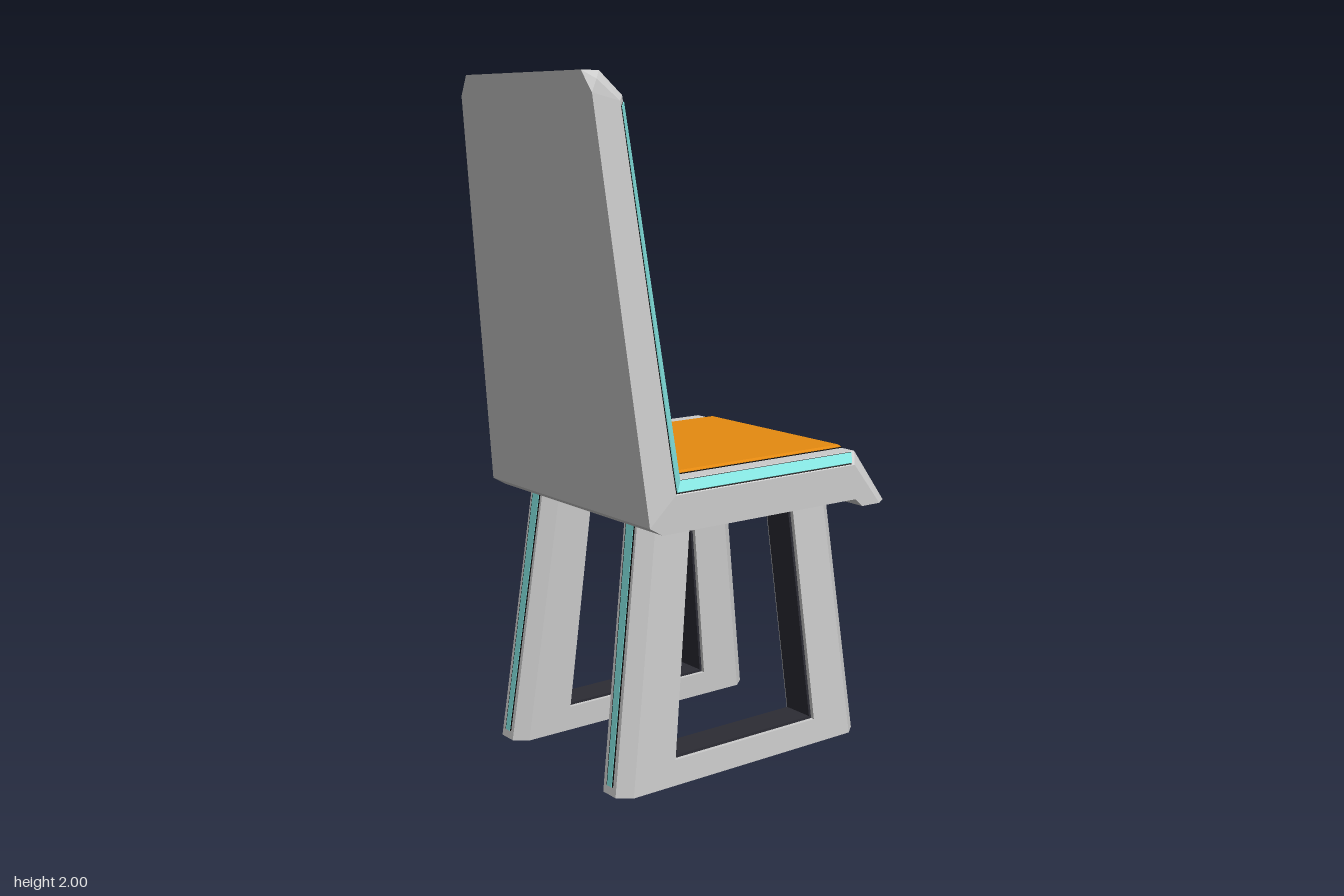
import * as THREE from 'three';

const material = (color) => new THREE.MeshStandardMaterial({ color, flatShading: true });
const GREY = material(0xcccccc);
const ORANGE = material(0xe58a10);
const TEAL = material(0x80e0dc);
const DARK = material(0x2c2c34);
const BLACK = material(0x0c0c0c);

// Closed solid through equal-sized rings of [x, y, z] points, faces turned outward
function loft(name, rings, mat) {
  const tris = [];
  const n = rings[0].length;
  for (let i = 0; i < rings.length - 1; i++) {
    for (let j = 0; j < n; j++) {
      const k = (j + 1) % n;
      const a = rings[i][j], b = rings[i][k], c = rings[i + 1][k], d = rings[i + 1][j];
      tris.push([a, b, c], [a, c, d]);
    }
  }
  const first = rings[0], last = rings[rings.length - 1];
  for (let j = 1; j < n - 1; j++) {
    tris.push([first[0], first[j + 1], first[j]], [last[0], last[j], last[j + 1]]);
  }
  const v = (p) => new THREE.Vector3(...p);
  const o = v(first[0]);
  let volume = 0;
  for (const [a, b, c] of tris) {
    volume += v(a).sub(o).dot(v(b).sub(o).cross(v(c).sub(o)));
  }
  const points = tris.flatMap(([a, b, c]) => (volume < 0 ? [a, c, b] : [a, b, c]));
  const geometry = new THREE.BufferGeometry();
  geometry.setAttribute('position', new THREE.Float32BufferAttribute(points.flat(), 3));
  geometry.computeVertexNormals();
  const mesh = new THREE.Mesh(geometry, mat);
  mesh.name = name;
  return mesh;
}

const mix = (a, b, t) => a.map((q, i) => q + (b[i] - q) * t);

// Mitred upward normals of an x-y path running from the backrest to the seat front
function pathNormals(path) {
  const seg = path.slice(1).map((p, i) => {
    const dx = p[0] - path[i][0], dy = p[1] - path[i][1], l = Math.hypot(dx, dy);
    return [-dy / l, dx / l];
  });
  return path.map((_, i) => {
    const a = seg[Math.max(i - 1, 0)], b = seg[Math.min(i, seg.length - 1)];
    const s = 1 + a[0] * b[0] + a[1] * b[1];
    return [(a[0] + b[0]) / s, (a[1] + b[1]) / s];
  });
}

// Shell stations: inner edge, chamfer edge, outer edge, each [x, y, half width]
const SHELL = [
  [[-0.46, 1.998, 0.285], [-0.495, 1.975, 0.325], [-0.52, 1.998, 0.29]],
  [[-0.39, 1.935, 0.29], [-0.425, 1.92, 0.33], [-0.513, 1.94, 0.33]],
  [[-0.265, 0.905, 0.375], [-0.3, 0.87, 0.405], [-0.388, 0.79, 0.405]],
  [[-0.265, 0.905, 0.375], [-0.3, 0.87, 0.405], [-0.345, 0.765, 0.405]],
  [[0.39, 0.905, 0.375], [0.365, 0.87, 0.405], [0.37, 0.765, 0.405]],
  [[0.513, 0.74, 0.375], [0.47, 0.74, 0.405], [0.4, 0.74, 0.405]],
];

// Strip following a path of [x, y, half width], with bevelled rim when raised
function strip(name, path, low, high, bevel, mat) {
  const len = (a, b) => Math.hypot(a[0] - b[0], a[1] - b[1]);
  const m = path.length;
  const full = [path[0], mix(path[0], path[1], bevel / len(path[0], path[1])), ...path.slice(1, -1),
    mix(path[m - 1], path[m - 2], bevel / len(path[m - 1], path[m - 2])), path[m - 1]];
  const normals = pathNormals(full);
  const rings = full.map(([x, y, w], i) => {
    const top = i === 0 || i === full.length - 1 ? low : high;
    const at = (d, z) => [x + normals[i][0] * d, y + normals[i][1] * d, z];
    return [at(-0.012, w), at(low, w), at(top, w - bevel), at(top, bevel - w), at(low, -w), at(-0.012, -w)];
  });
  return loft(name, rings, mat);
}

// One bevelled, leaning leg frame with glowing strips; side is +1 or -1
function legFrame(side) {
  const leg = new THREE.Group();
  leg.name = side > 0 ? 'leftLegFrame' : 'rightLegFrame';
  const pt = (x, y, dz) => [x, y, side * (0.2725 - 0.04 * y + dz)];
  const H = 0.0625, TOP = 0.78;
  const posts = [
    { name: 'frontPost', s: 1, out: (y) => 0.47 - 0.131 * y, inn: (y) => 0.294 - 0.112 * y },
    { name: 'rearPost', s: -1, out: (y) => -0.435 + 0.131 * y, inn: (y) => -0.253 + 0.104 * y },
  ];
  for (const { name, s, out, inn } of posts) {
    leg.add(loft(name, [0, TOP].map((y) => {
      const o = out(y), c = o - s * 0.04, i = inn(y);
      return [pt(o, y, 0.03), pt(c, y, H), pt(i, y, H), pt(i, y, -H), pt(c, y, -H), pt(o, y, -0.03)];
    }), GREY));
    // Dark groove with the light strip set on it
    for (const [label, lift, w0, w1, mat] of [['Groove', 0.0015, 0.015, 0.021, BLACK], ['Light', 0.003, 0.011, 0.017, TEAL]]) {
      leg.add(loft(name + label, [[0.025, w0], [0.765, w1]].map(([y, w]) => {
        const a = out(y) + s * lift, b = out(y) - s * 0.005;
        return [pt(a, y, w), pt(a, y, -w), pt(b, y, -w), pt(b, y, w)];
      }), mat));
    }
    // Dark lining of the opening
    leg.add(loft(name + 'Lining', [0.075, TOP].map((y) => {
      const a = inn(y) + s * 0.004, b = inn(y) - s * 0.008;
      return [pt(a, y, 0.05), pt(a, y, -0.05), pt(b, y, -0.05), pt(b, y, 0.05)];
    }), DARK));
  }
  const bar = (name, y0, y1, h, mat) => loft(name, posts.map(({ inn }) => [
    pt(inn(y0), y0, h), pt(inn(y1), y1, h), pt(inn(y1), y1, -h), pt(inn(y0), y0, -h)]), mat);
  leg.add(bar('floorBar', 0, 0.076, H, GREY), bar('floorBarLining', 0.07, 0.084, 0.05, DARK));
  return leg;
}

export function createModel() {
  const chair = new THREE.Group();
  chair.name = 'chair';

  // Backrest and seat shell
  chair.add(loft('shell', SHELL.map((station) => {
    const half = station.map(([x, y, w]) => [x, y, w]);
    return [...half, ...half.map(([x, y, w]) => [x, y, -w]).reverse()];
  }), GREY));

  // Upholstery: dark bed with raised panels
  const back = (y) => [-0.265 - (y - 0.905) * 0.1214, y, 0.315 - (y - 0.905) * 0.06];
  const crest = [-0.455, 1.993, 0.25], bend = back(1.935);
  const knee = [0.39, 0.905, 0.315], lip = [0.468, 0.801, 0.315];
  const grow = ([x, y, w]) => [x, y, w + 0.006];
  chair.add(strip('upholsteryBed', [[-0.46, 1.997, 0.25], bend, back(0.905), knee, [0.472, 0.795, 0.315]].map(grow),
    0.0015, 0.0015, 0.002, BLACK));
  const panels = {
    headPanel: [crest, bend, back(1.77)],
    upperBackPanel: [back(1.762), back(1.42)],
    lowerBackPanel: [back(1.412), back(0.92)],
    seatPanel: [[-0.255, 0.905, 0.315], knee, lip],
  };
  for (const [name, path] of Object.entries(panels)) {
    chair.add(strip(name, path, 0.003, 0.007, 0.012, ORANGE));
  }

  // Light strips on the chamfered shell edges
  const [, top, corner, , front] = SHELL;
  const ends = [
    top.map((p, i) => mix(p, corner[i], 0.015)), corner, front.map((p, i) => mix(p, corner[i], 0.02)),
  ];
  for (const side of [1, -1]) {
    for (const [label, t0, t1, lift, mat] of [['Groove', 0.06, 0.92, 0.001, BLACK], ['Light', 0.12, 0.86, 0.0025, TEAL]]) {
      const edges = [t0, t1].map((t) => ends.map(([p, q]) => mix(p, q, t)));
      const normals = pathNormals(edges[0]);
      const rings = ends.map((_, i) => {
        const at = (e, d) => {
          const [x, y, w] = edges[e][i];
          return [x + normals[i][0] * d, y + normals[i][1] * d, side * (w + d)];
        };
        return [at(0, lift), at(1, lift), at(1, -0.005), at(0, -0.005)];
      });
      chair.add(loft((side > 0 ? 'left' : 'right') + 'Edge' + label, rings, mat));
    }
    chair.add(legFrame(side));
  }
  return chair;
}
